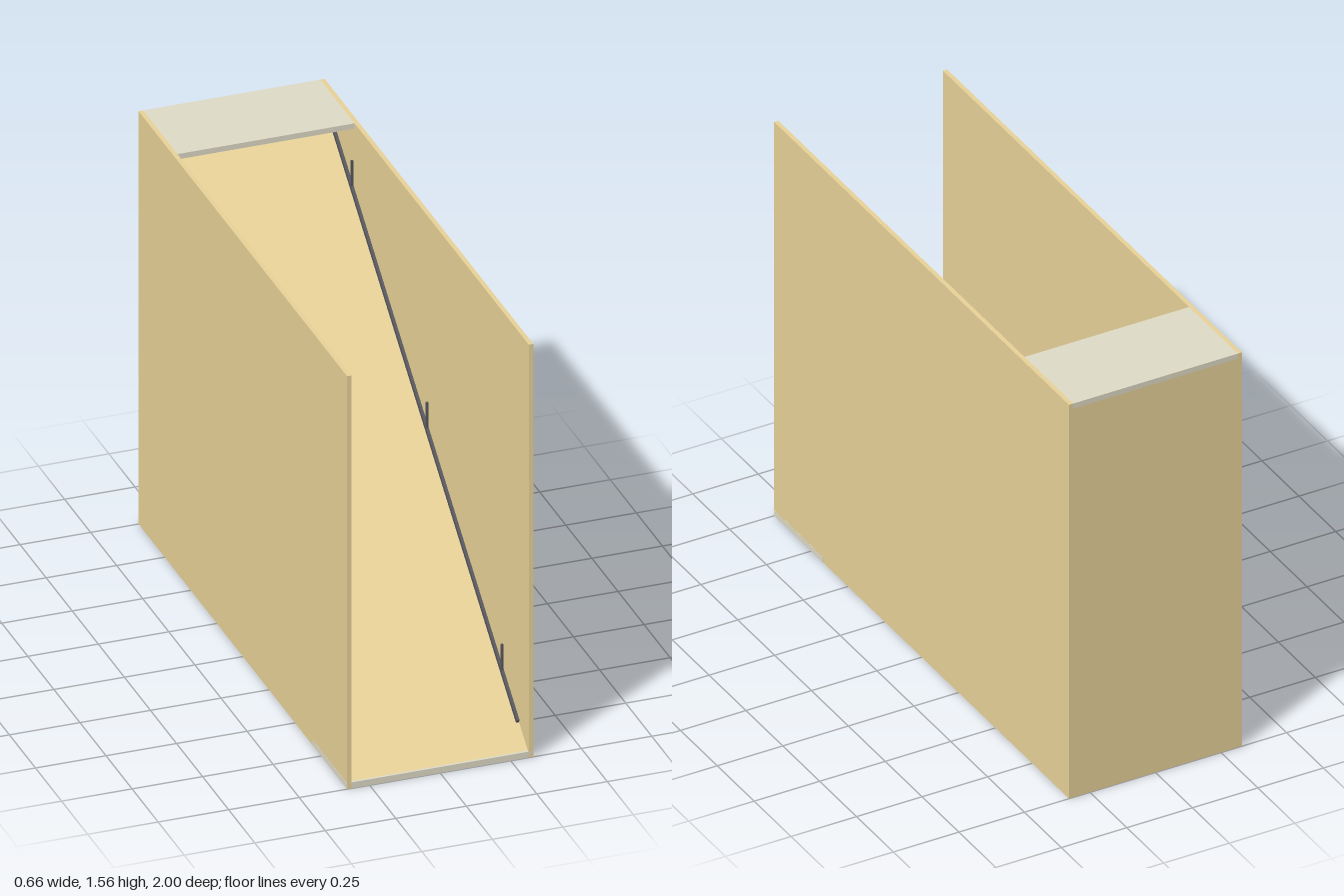
import * as THREE from 'three';

const W = 0.33, H = 1.555, T = 0.016, IN = W - T; // half width, height, panel thickness, inner half width

const mat = (color) => new THREE.MeshStandardMaterial({ color });
const wood = mat(0xe8d298), frosted = mat(0xdedac6), dark = mat(0x55555c), teal = mat(0x4f8f9c);

export function createModel() {
  const model = new THREE.Group();
  const add = (name, geometry, material, x, y, z) => {
    const mesh = new THREE.Mesh(geometry, material);
    mesh.name = name;
    mesh.position.set(x, y, z);
    model.add(mesh);
    return mesh;
  };
  // box given by its minimum and maximum corners
  const box = (name, material, a, b) => add(name,
    new THREE.BoxGeometry(b[0] - a[0], b[1] - a[1], b[2] - a[2]), material,
    (a[0] + b[0]) / 2, (a[1] + b[1]) / 2, (a[2] + b[2]) / 2);

  // tall side walls
  box('leftWall', wood, [IN, 0, -1], [W, H, 1]);
  box('rightWall', wood, [-W, 0, -1], [-IN, H, 1]);

  // back and floor panels, with pale plates over the back top and front bottom
  box('backPanel', wood, [-IN, 0, -1], [IN, H - 0.02, -1 + T]);
  box('floorPanel', wood, [-IN, 0, -1 + T], [IN, 0.02, 0.67]);
  box('topPlate', frosted, [-IN, H - 0.02, -1], [IN, H, -0.67]);
  box('bottomPlate', frosted, [-W - 0.0005, -0.0005, 0.67], [W + 0.0005, 0.022, 1]);

  // sloping panel from the front bottom edge to the back top edge
  const low = new THREE.Vector2(0.99, 0.022), high = new THREE.Vector2(-0.985, H - 0.02);
  const slope = (high.y - low.y) / (low.x - high.x);
  const rampY = (z) => low.y + (low.x - z) * slope;
  const profile = new THREE.Shape([
    new THREE.Vector2(-low.x, low.y), new THREE.Vector2(-low.x + 0.02, low.y),
    new THREE.Vector2(-high.x, high.y - 0.016), new THREE.Vector2(-high.x, high.y),
  ]);
  const ramp = add('ramp', new THREE.ExtrudeGeometry(profile, { depth: 2 * IN, bevelEnabled: false }), wood, -IN, 0, 0);
  ramp.rotation.y = Math.PI / 2;

  // thin rails along the ramp and short upright pins, on both walls
  const z0 = 0.91, z1 = -0.92, dz = z0 - z1, dy = rampY(z1) - rampY(z0);
  for (const side of [1, -1]) {
    const x = side * (IN - 0.006);
    const rail = add('rail', new THREE.BoxGeometry(0.01, 0.016, Math.hypot(dz, dy)), dark,
      x, (rampY(z0) + rampY(z1)) / 2 + 0.008, (z0 + z1) / 2);
    rail.rotation.x = Math.atan2(dy, dz);
    for (const z of [0.76, 0.04, -0.68]) {
      box('pin', dark, [x - 0.004, rampY(z), z - 0.004], [x + 0.004, rampY(z) + 0.11, z + 0.004]);
    }
  }

  // small lamp hanging under the top plate
  add('lampFlange', new THREE.CylinderGeometry(0.02, 0.016, 0.008, 16), teal, 0, H - 0.024, -0.83);
  add('lampStem', new THREE.CylinderGeometry(0.01, 0.01, 0.02, 16), dark, 0, H - 0.036, -0.83);

  return model;
}
